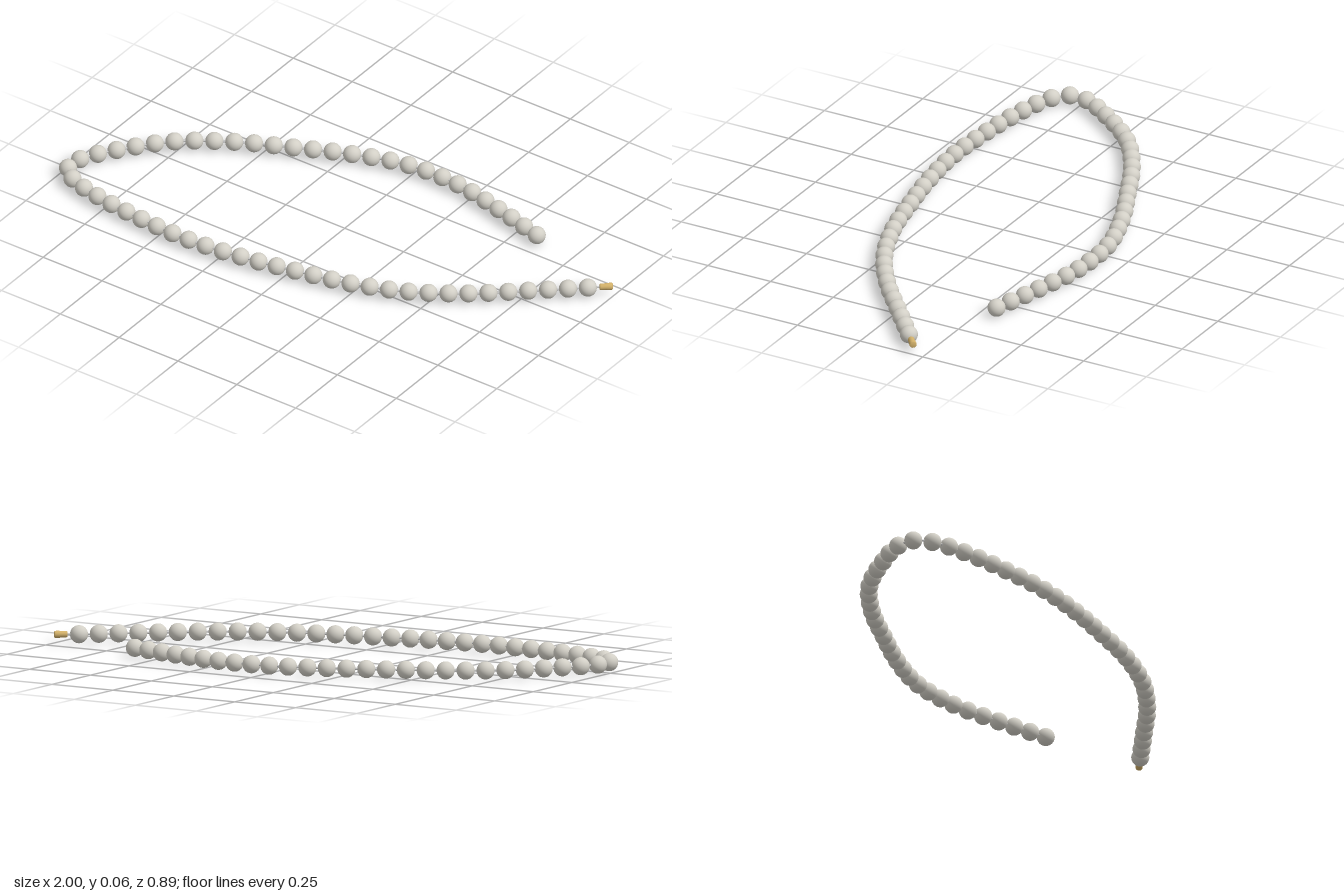
import * as THREE from 'three';

const BEAD_COUNT = 58;
const BEAD_RADIUS = 0.0315;
const HEIGHT = BEAD_RADIUS; // beads rest on the ground

// Path of the strand on the ground, as [x, z]
const PATH = [
  [0.594, -0.313], [0.396, -0.366], [0.193, -0.409], [-0.016, -0.408], [-0.214, -0.35],
  [-0.406, -0.265], [-0.594, -0.174], [-0.765, -0.056], [-0.898, 0.104], [-0.968, 0.222],
  [-0.970, 0.291], [-0.920, 0.334], [-0.786, 0.372], [-0.583, 0.398], [-0.374, 0.408],
  [-0.166, 0.388], [0.037, 0.35], [0.241, 0.302], [0.433, 0.227], [0.610, 0.115],
  [0.770, -0.019], [0.925, -0.152],
];

export function createModel() {
  const necklace = new THREE.Group();
  necklace.name = 'beadNecklace';

  const pearl = new THREE.MeshStandardMaterial({ color: 0xd2cfc6 });
  const cord = new THREE.MeshStandardMaterial({ color: 0xcccccc });
  const gold = new THREE.MeshStandardMaterial({ color: 0xd4b26a });

  const points = PATH.map(([x, z]) => new THREE.Vector3(x, HEIGHT, z));
  const strand = new THREE.CatmullRomCurve3(points);
  strand.arcLengthDivisions = 1000;

  // Evenly spaced beads
  const beads = new THREE.Group();
  beads.name = 'beads';
  const beadGeometry = new THREE.SphereGeometry(BEAD_RADIUS, 28, 18);
  strand.getSpacedPoints(BEAD_COUNT - 1).forEach((p) => {
    const bead = new THREE.Mesh(beadGeometry, pearl);
    bead.name = 'bead';
    bead.position.copy(p);
    beads.add(bead);
  });
  necklace.add(beads);

  // Thin cord through the beads, running on into the clasp
  const claspCenter = new THREE.Vector3(0.974, HEIGHT + 0.001, -0.193);
  const cordPath = new THREE.CatmullRomCurve3([...points, claspCenter]);
  const thread = new THREE.Mesh(new THREE.TubeGeometry(cordPath, 300, 0.004, 8), cord);
  thread.name = 'cord';
  necklace.add(thread);

  // Barrel clasp: a turned body with chamfered ends and a slight step
  const profile = [
    [0, -0.023], [0.009, -0.023], [0.0115, -0.02], [0.0115, 0.002],
    [0.0125, 0.004], [0.0125, 0.02], [0.010, 0.023], [0, 0.023],
  ].map(([r, y]) => new THREE.Vector2(r, y));
  const clasp = new THREE.Mesh(new THREE.LatheGeometry(profile, 24), gold);
  clasp.name = 'clasp';
  clasp.position.copy(claspCenter);
  const direction = claspCenter.clone().sub(points[points.length - 1]).setY(0).normalize();
  clasp.quaternion.setFromUnitVectors(new THREE.Vector3(0, 1, 0), direction);
  necklace.add(clasp);

  return necklace;
}
